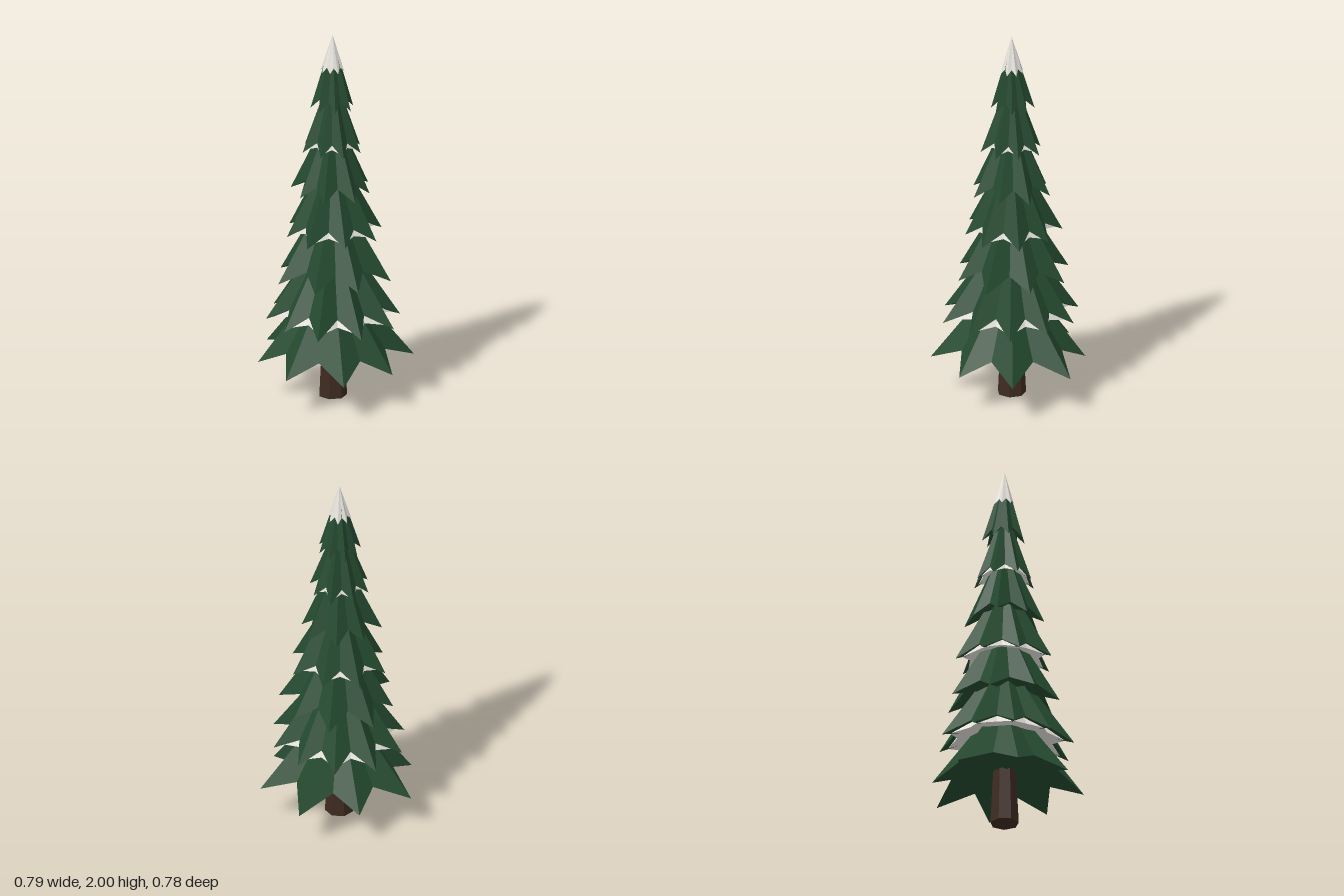
import * as THREE from 'three';

// Star-shaped cone: points alternate between drooping tips and raised notches.
function starCone({ apex, tipY, notchY, innerY, phase, radii, notch }) {
  const n = radii.length, ring = [], pos = [];
  const at = (deg, r, y) => {
    const a = deg * Math.PI / 180;
    return [Math.cos(a) * r, y, Math.sin(a) * r];
  };
  for (let i = 0; i < n; i++) {
    const step = 360 / n;
    ring.push(at(phase + i * step, radii[i], tipY));
    ring.push(at(phase + (i + 0.5) * step, notch, notchY));
  }
  ring.forEach((p, i) => {
    const q = ring[(i + 1) % ring.length];
    pos.push(0, apex, 0, ...q, ...p);     // outer face
    pos.push(0, innerY, 0, ...p, ...q);   // underside
  });
  const g = new THREE.BufferGeometry();
  g.setAttribute('position', new THREE.Float32BufferAttribute(pos, 3));
  g.computeVertexNormals();
  return g;
}

// Slightly uneven branch lengths around a mean radius
const uneven = (n, r, seed) =>
  Array.from({ length: n }, (_, i) => r * (1 + 0.06 * Math.sin(i * 2.4 + seed * 1.7)));

export function createModel() {
  const tree = new THREE.Group();
  tree.name = 'snowyPine';
  const material = (name, color) => {
    const m = new THREE.MeshStandardMaterial({ color, flatShading: true });
    m.name = name;
    return m;
  };
  const needles = material('needleGreen', 0x24492f);
  const snow = material('snowWhite', 0xe6e3dc);
  const bark = material('barkBrown', 0x3e2a20);

  const add = (name, geometry, mat) => {
    const mesh = new THREE.Mesh(geometry, mat);
    mesh.name = name;
    mesh.position.set(-0.015, 0, 0.015);
    tree.add(mesh);
    return mesh;
  };

  // Trunk, tapering up into the lowest branches
  const trunk = add('trunk', new THREE.CylinderGeometry(0.05, 0.075, 0.5, 7), bark);
  trunk.position.y = 0.25;

  // Branch tiers from bottom to top
  const tiers = [
    { y: 0.20, h: 0.53, phase: -15, radii: [0.425, 0.424, 0.387, 0.417, 0.398, 0.388, 0.424, 0.38] },
    { y: 0.433, h: 0.54, phase: -4, radii: [0.33, 0.35, 0.366, 0.37, 0.365, 0.336, 0.345, 0.35, 0.36, 0.34], snow: true },
    { y: 0.667, h: 0.52, phase: 11, radii: uneven(8, 0.3, 3) },
    { y: 0.90, h: 0.50, phase: 22, radii: uneven(8, 0.255, 4), snow: true },
    { y: 1.133, h: 0.47, phase: 5, radii: uneven(8, 0.208, 5) },
    { y: 1.367, h: 0.44, phase: 17, radii: uneven(8, 0.158, 6), snow: true },
    { y: 1.60, h: 0.39, phase: 30, radii: uneven(8, 0.112, 7) },
  ];
  tiers.forEach((t, i) => {
    const mean = t.radii.reduce((a, b) => a + b) / t.radii.length;
    const lift = 0.08 - i * 0.004;
    add('branchTier' + (i + 1), starCone({
      apex: t.y + t.h, tipY: t.y, notchY: t.y + lift, innerY: t.y + 0.1,
      phase: t.phase, radii: t.radii, notch: mean * 0.69,
    }), needles);

    // Snow layer peeking out of the notches beneath the tier
    if (t.snow) add('snowLayer' + (i + 1), starCone({
      apex: t.y + t.h - 0.02, tipY: t.y + 0.015, notchY: t.y + 0.035, innerY: t.y + 0.09,
      phase: t.phase, radii: t.radii.map(r => r * 0.87), notch: mean * 0.7,
    }), snow);
  });

  // Snow cap, thinner at the front so some green shows through
  add('snowCap', starCone({
    apex: 2, tipY: 1.8, notchY: 1.83, innerY: 1.86, phase: 8,
    radii: [0.064, 0.064, 0.058, 0.05, 0.062, 0.064, 0.064, 0.064], notch: 0.047,
  }), snow);

  return tree;
}
